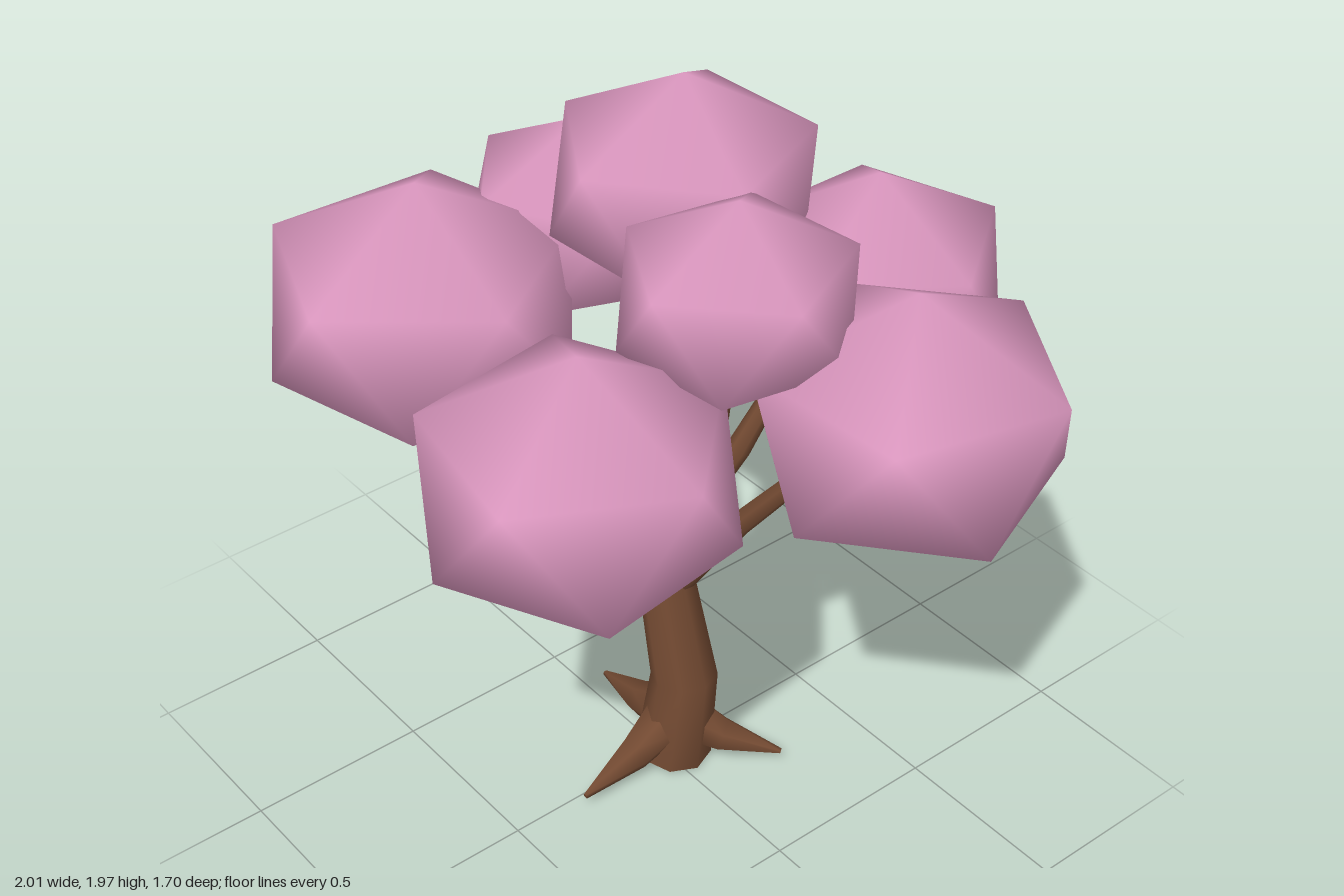
import * as THREE from 'three';

const leafMat = new THREE.MeshStandardMaterial({ color: 0xdc98c0 });
leafMat.name = 'pink blossom';
const barkMat = new THREE.MeshStandardMaterial({ color: 0x734a32 });
barkMat.name = 'brown bark';

// Twelve-point blossom ball: two poles and two staggered rings of five, smooth normals
function blossomGeometry(radius, halfHeight, turn) {
  const pos = [0, halfHeight, 0];
  const index = [];
  for (let ring = 0; ring < 2; ring++) {
    for (let i = 0; i < 5; i++) {
      const a = THREE.MathUtils.degToRad(turn + i * 72 + ring * 36);
      pos.push(radius * Math.cos(a), halfHeight * (ring ? -0.447 : 0.447), radius * Math.sin(a));
    }
  }
  pos.push(0, -halfHeight, 0);
  for (let i = 0; i < 5; i++) {
    const u = 1 + i, u2 = 1 + (i + 1) % 5, l = u + 5, l2 = u2 + 5;
    index.push(0, u2, u, u, u2, l, u2, l2, l, l, l2, 11);
  }
  const g = new THREE.BufferGeometry();
  g.setAttribute('position', new THREE.Float32BufferAttribute(pos, 3));
  g.setIndex(index);
  g.computeVertexNormals();
  return g;
}

// Tapered bent limb through [x, y, z, radius] stations, closed at both ends
function limbGeometry(stations, sides) {
  const pts = stations.map(s => new THREE.Vector3(s[0], s[1], s[2]));
  const pos = [], index = [], last = pts.length - 1;
  const ref = new THREE.Vector3();
  pts.forEach((p, k) => {
    const dir = pts[Math.min(k + 1, last)].clone().sub(pts[Math.max(k - 1, 0)]).normalize();
    if (k === 0) ref.set(0, 0, 1).addScaledVector(dir, -dir.z);
    if (k === 0 && ref.length() < 0.6) ref.set(1, 0, 0);
    const u = ref.addScaledVector(dir, -ref.dot(dir)).normalize();
    const v = dir.clone().cross(u);
    for (let i = 0; i < sides; i++) {
      const a = i / sides * Math.PI * 2;
      const q = p.clone().addScaledVector(u, stations[k][3] * Math.cos(a))
        .addScaledVector(v, stations[k][3] * Math.sin(a));
      pos.push(q.x, Math.max(q.y, 0), q.z);
    }
  });
  for (let k = 0; k < last; k++) {
    for (let i = 0; i < sides; i++) {
      const a = k * sides + i, b = k * sides + (i + 1) % sides;
      index.push(a, b, b + sides, a, b + sides, a + sides);
    }
  }
  // Caps get their own points so the rims stay sharp
  for (const k of [0, last]) {
    const base = pos.length / 3;
    pos.push(...pos.slice(k * sides * 3, (k + 1) * sides * 3));
    for (let i = 1; i < sides - 1; i++) {
      if (k === 0) index.push(base, base + i + 1, base + i);
      else index.push(base, base + i, base + i + 1);
    }
  }
  const g = new THREE.BufferGeometry();
  g.setAttribute('position', new THREE.Float32BufferAttribute(pos, 3));
  g.setIndex(index);
  g.computeVertexNormals();
  return g;
}

export function createModel() {
  const tree = new THREE.Group();
  tree.name = 'blossomTree';
  const add = (name, geometry, material) => {
    const m = new THREE.Mesh(geometry, material);
    m.name = name;
    tree.add(m);
    return m;
  };

  // Crooked trunk running into the middle branch
  add('trunk', limbGeometry([
    [0.015, 0.01, -0.03, 0.105], [0.04, 0.29, -0.045, 0.092], [-0.045, 0.62, -0.043, 0.076],
    [0, 0.84, -0.068, 0.042], [0.08, 1.1, -0.09, 0.042], [0.16, 1.42, -0.08, 0.025],
  ], 8), barkMat);

  // Side branches
  const branches = {
    leftFrontBranch: [[0, 0.82, -0.06, 0.035], [0.06, 0.89, 0.03, 0.036], [0.13, 0.99, 0.17, 0.03], [0.18, 1.13, 0.29, 0.02]],
    rightBranch: [[0, 0.78, -0.06, 0.045], [-0.14, 0.93, -0.12, 0.035], [-0.4, 1.21, -0.22, 0.02]],
    leftBranch: [[0.015, 0.6, -0.06, 0.035], [0.15, 0.83, -0.13, 0.033], [0.42, 1.2, -0.25, 0.022]],
    backBranch: [[0.01, 0.8, -0.08, 0.035], [0.1, 1.03, -0.17, 0.032], [0.14, 1.25, -0.29, 0.022]],
  };
  for (const [name, stations] of Object.entries(branches)) add(name, limbGeometry(stations, 6), barkMat);

  // Spreading roots: tip x, z
  const roots = { rightRoot: [-0.32, -0.05], leftRoot: [0.24, -0.23], frontRoot: [0.04, 0.3] };
  for (const [name, [x, z]] of Object.entries(roots)) {
    const along = (t, y, r) => [0.015 + (x - 0.015) * t, y, -0.03 + (z + 0.03) * t, r];
    add(name, limbGeometry([along(0.1, 0.13, 0.07), along(0.45, 0.075, 0.05), along(1, 0.035, 0.008)], 6), barkMat);
  }

  // Blossom clumps: x, y, z, ring radius, half height, turn in degrees
  const clumps = {
    frontRightBlossom: [-0.61, 1.305, 0.3, 0.405, 0.355, 3],
    backRightBlossom: [-0.58, 1.4, -0.2, 0.315, 0.285, 21],
    topBlossom: [-0.185, 1.67, -0.215, 0.335, 0.3, 14],
    topLeftBlossom: [0.305, 1.67, 0.025, 0.285, 0.26, 11],
    frontLeftBlossom: [0.285, 1.345, 0.475, 0.38, 0.345, -8],
    leftBlossom: [0.62, 1.385, -0.25, 0.385, 0.345, -22],
    backBlossom: [0.18, 1.44, -0.54, 0.325, 0.3, 0],
  };
  for (const [name, [x, y, z, r, h, turn]] of Object.entries(clumps)) {
    add(name, blossomGeometry(r, h, turn), leafMat).position.set(x, y, z);
  }
  return tree;
}
